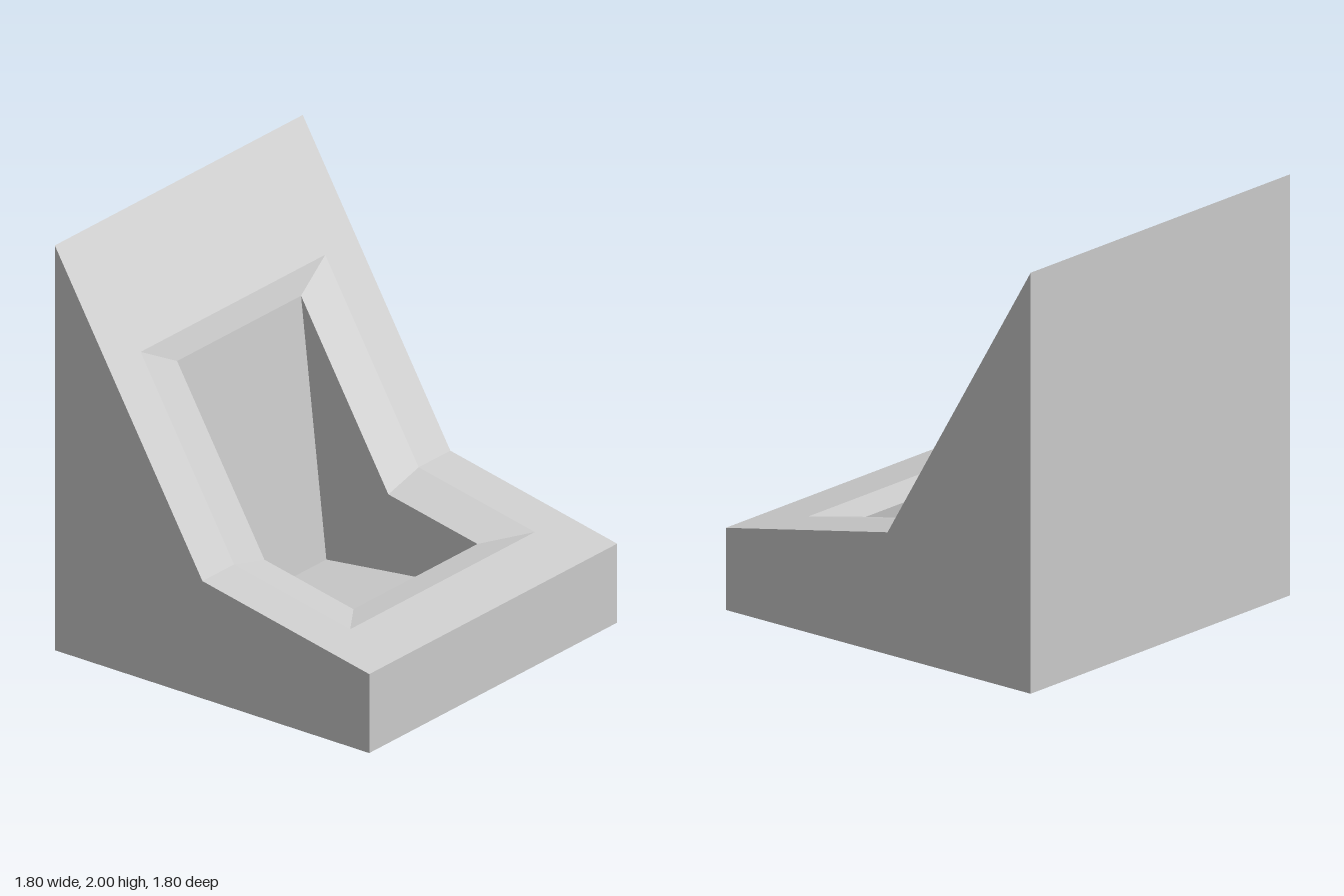
import * as THREE from 'three';

// A loop of six corners: back, crease and front of an [x, y] profile on both sides.
function ring(halfWidth, [back, crease, front]) {
  const at = ([x, y], side) => new THREE.Vector3(x, y, side * halfWidth);
  return [at(back, -1), at(back, 1), at(crease, 1), at(front, 1), at(front, -1), at(crease, -1)];
}

// Faces between two loops
function band(a, b) {
  return a.map((p, i) => [p, a[(i + 1) % 6], b[(i + 1) % 6], b[i]]);
}

// Two faces closing a loop, facing up
function cap(r) {
  return [[r[0], r[1], r[2], r[5]], [r[5], r[2], r[3], r[4]]];
}

function facesMesh(name, quads, material) {
  const points = quads.flatMap(([a, b, c, d]) => [a, b, c, a, c, d]);
  const geometry = new THREE.BufferGeometry().setFromPoints(points);
  geometry.computeVertexNormals(); // unshared corners keep the edges sharp
  const mesh = new THREE.Mesh(geometry, material);
  mesh.name = name;
  return mesh;
}

export function createModel() {
  const group = new THREE.Group();
  group.name = 'recessedStand';
  const grey = new THREE.MeshStandardMaterial({ color: 0xcccccc });
  grey.name = 'plain grey';

  const base = ring(0.9, [[-0.9, 0], [-0.055, 0], [0.9, 0]]);
  const edge = ring(0.9, [[-0.9, 2], [-0.055, 0.58], [0.9, 0.39]]);
  const rim = ring(0.67, [[-0.59, 1.479], [-0.055, 0.58], [0.61, 0.448]]);
  const lip = ring(0.45, [[-0.555, 1.365], [-0.055, 0.525], [0.455, 0.424]]);
  const floor = ring(0.45, [[-0.41, 0.103], [-0.055, 0.144], [0.48, 0.205]]);

  // Outer walls and underside
  const underside = cap(base).map((q) => [...q].reverse());
  group.add(facesMesh('body', [...band(base, edge), ...underside], grey));
  // Sloping back and seat surfaces around the opening
  group.add(facesMesh('slopedFace', band(edge, rim), grey));
  // Shallow chamfer leading into the opening
  group.add(facesMesh('chamfer', band(rim, lip), grey));
  // Tilted pocket with its floor
  group.add(facesMesh('pocketWalls', band(lip, floor), grey));
  group.add(facesMesh('pocketFloor', cap(floor), grey));
  return group;
}
